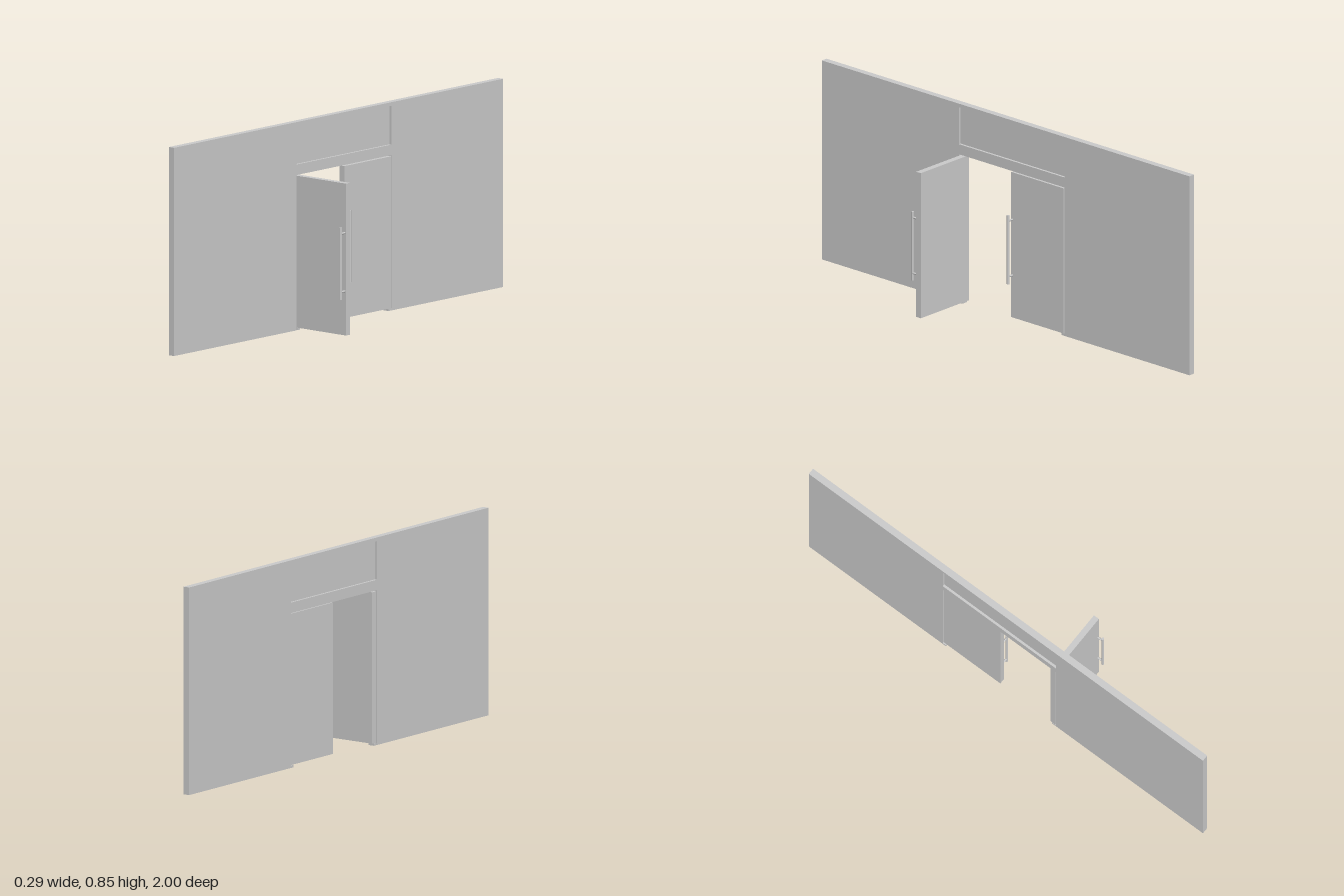
import * as THREE from 'three';

const material = new THREE.MeshStandardMaterial({ color: 0xcccccc });

function part(name, geometry, x, y, z, parent) {
  const mesh = new THREE.Mesh(geometry, material);
  mesh.name = name;
  mesh.position.set(x, y, z);
  parent.add(mesh);
  return mesh;
}

// Box given by its lower and upper corners
function box(name, [x0, y0, z0], [x1, y1, z1], parent) {
  return part(name, new THREE.BoxGeometry(x1 - x0, y1 - y0, z1 - z0),
    (x0 + x1) / 2, (y0 + y1) / 2, (z0 + z1) / 2, parent);
}

// Door leaf with a pull bar; the hinge is at the local origin and the
// leaf runs along +x, with the handle on its +z face
function makeDoor(name) {
  const door = new THREE.Group();
  door.name = name;
  const width = 0.285, thick = 0.025, barX = 0.279, barZ = thick + 0.025;
  box('doorLeaf', [0, 0.01, 0], [width, 0.63, thick], door);
  part('handleBar', new THREE.CylinderGeometry(0.0055, 0.0055, 0.294, 16), barX, 0.306, barZ, door);
  for (const y of [0.19, 0.428]) {
    const post = new THREE.CylinderGeometry(0.004, 0.004, barZ - thick, 12).rotateX(Math.PI / 2);
    part('handlePost', post, barX, y, (barZ + thick) / 2, door);
  }
  return door;
}

export function createModel() {
  const model = new THREE.Group();
  model.name = 'wallWithDoubleDoor';
  const back = -0.145, front = -0.117, mid = (back + front) / 2;
  const z0 = -0.32, z1 = 0.255, doorTop = 0.634;

  // Wall outline in (z, y) with the doorway notch
  const outline = new THREE.Shape([
    [-1, 0], [z0, 0], [z0, doorTop], [z1, doorTop], [z1, 0], [1, 0], [1, 0.85], [-1, 0.85],
  ].map(([z, y]) => new THREE.Vector2(z, y)));

  // Transom window hole
  const t0 = 0.677, t1 = 0.835;
  outline.holes.push(new THREE.Path([
    [z0, t0], [z0, t1], [z1, t1], [z1, t0],
  ].map(([z, y]) => new THREE.Vector2(z, y))));
  const wall = new THREE.ExtrudeGeometry(outline, { depth: front - back, bevelEnabled: false });
  wall.rotateY(-Math.PI / 2);
  part('wall', wall, front, 0, 0, model);

  // Recessed transom pane
  box('transomPane', [mid - 0.004, t0, z0], [mid + 0.004, t1, z1], model);

  // Open leaf, standing square to the wall
  const openDoor = makeDoor('openDoor');
  openDoor.position.set(-0.1435, 0, 0.225);
  model.add(openDoor);

  // Closed leaf: mirrored so its handle sits at the meeting edge
  const closedDoor = makeDoor('closedDoor');
  closedDoor.rotation.y = Math.PI / 2;
  closedDoor.scale.x = 1;
  closedDoor.position.set(-0.14, 0, -0.317);
  // Turn the leaf so that local +x runs along world +z and local +z along world +x
  closedDoor.scale.x = -1;
  model.add(closedDoor);

  // Floor pivots under the hinge ends
  for (const z of [-0.312, 0.243]) {
    box('floorPivot', [back, 0, z - 0.008], [front, 0.01, z + 0.008], model);
  }

  return model;
}
